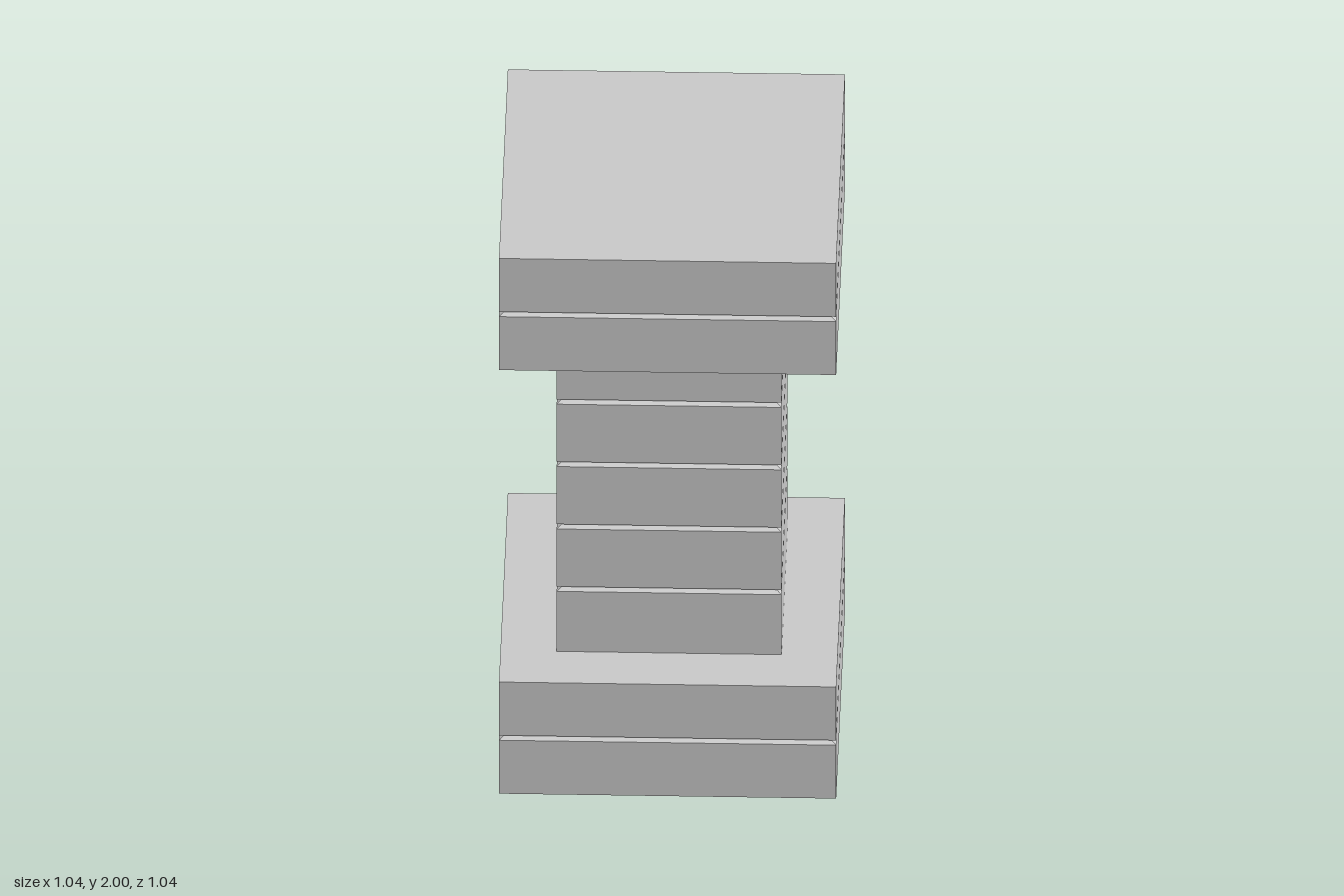
import * as THREE from 'three';

const material = new THREE.MeshStandardMaterial({ color: 0xcccccc, flatShading: true });
const GROOVE_HALF = 0.009;
const GROOVE_DEPTH = 0.016;

// Square stack of equal courses, separated by V-shaped grooves
function courses(name, half, bottom, top, count, capped) {
  const profile = [];
  const add = (h, y) => profile.push(new THREE.Vector2(h * Math.SQRT2, y));
  if (capped) add(0, bottom);
  add(half, bottom);
  for (let i = 1; i < count; i++) {
    const y = bottom + ((top - bottom) * i) / count;
    add(half, y - GROOVE_HALF);
    add(half - GROOVE_DEPTH, y);
    add(half, y + GROOVE_HALF);
  }
  add(half, top);
  if (capped) add(0, top);

  // Four-sided lathe turned so its faces look along x and z
  const geometry = new THREE.LatheGeometry(profile, 4, Math.PI / 4).toNonIndexed();
  geometry.computeVertexNormals();
  const mesh = new THREE.Mesh(geometry, material);
  mesh.name = name;
  return mesh;
}

export function createModel() {
  const pillar = new THREE.Group();
  pillar.name = 'pillar';
  pillar.add(
    courses('base', 0.522, 0, 0.417, 2, true),
    courses('shaft', 0.348, 0.417, 1.583, 5, false),
    courses('capital', 0.522, 1.583, 2, 2, true)
  );
  return pillar;
}
